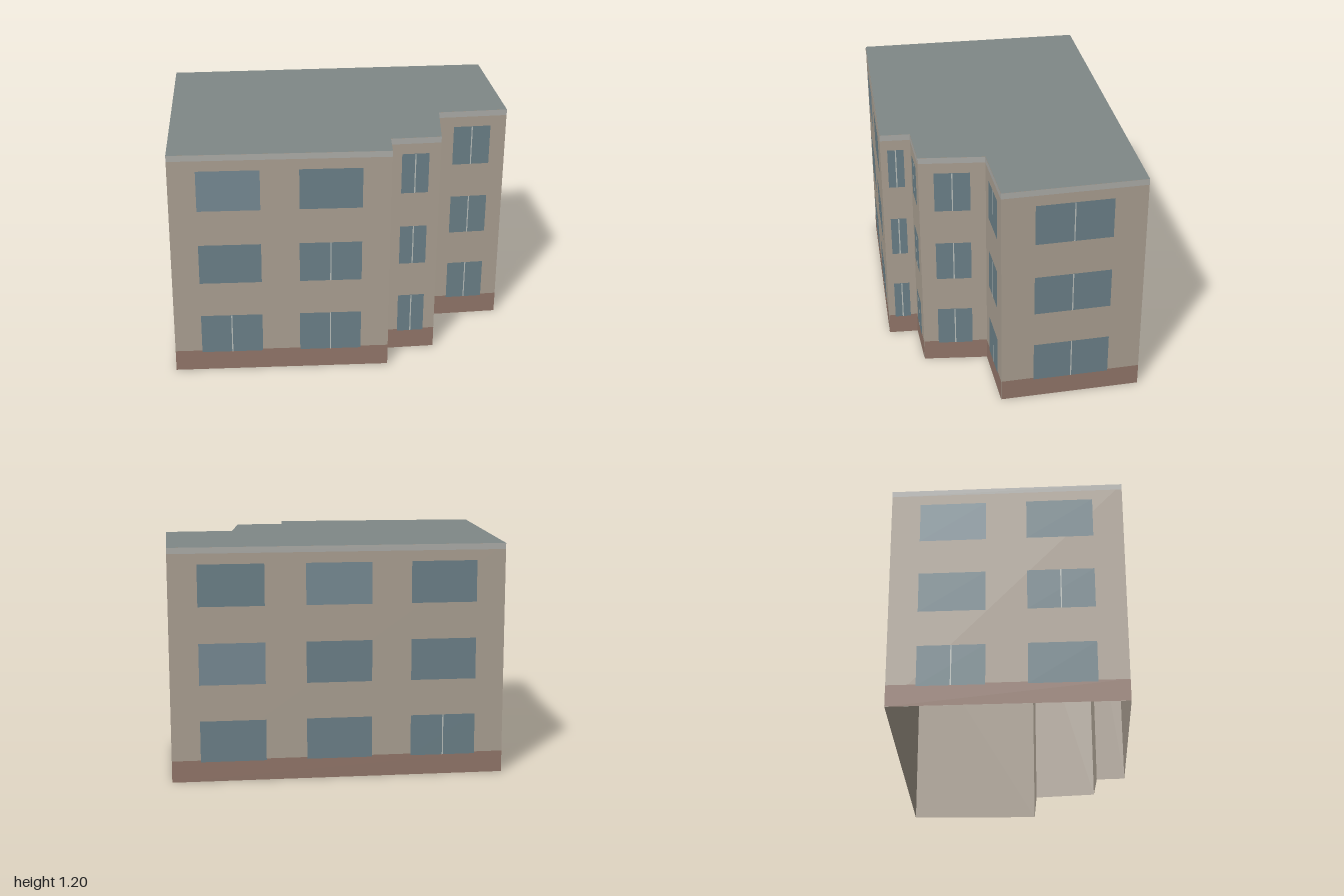
import * as THREE from 'three';

// Footprint corners [x, z], anticlockwise seen from above
const PLAN = [
  [-0.90, 0.04], [-0.214, 1.0], [0.672, 0.356], [0.589, 0.23],
  [0.787, 0.07], [0.622, -0.214], [0.90, -0.443], [0.46, -1.0],
];
const HEIGHT = 1.204, PLINTH = 0.112, CORNICE = 1.173;
const SILLS = [0.103, 0.504, 0.905], WINDOW_H = 0.214;

// Window layout by number of windows per floor, as fractions of wall length
const LAYOUT = {
  1: { width: 0.54, centres: [0.5] },
  2: { width: 0.285, centres: [0.268, 0.728] },
  3: { width: 0.196, centres: [0.184, 0.502, 0.816] },
};

// Windows per floor on each wall; split and pale list the [floor, column]
// of windows with a mullion and of windows with lighter glass
const WALLS = [
  { count: 2, split: [[0, 0], [1, 1]], pale: [[2, 0]] },
  { count: 2, split: [[0, 0], [0, 1], [1, 1]], pale: [[2, 0]] },
  { count: 1 }, { count: 1 }, { count: 1 }, { count: 1 }, { count: 1 },
  { count: 3, split: [[0, 2]], pale: [[1, 0], [2, 1]] },
];

const paint = (color) => new THREE.MeshStandardMaterial({ color });
const listed = (list, floor, col) => list.some(([f, c]) => f === floor && c === col);

export function createModel() {
  const model = new THREE.Group();
  model.name = 'apartmentBlock';
  const mats = {
    wall: paint(0xada294), plinth: paint(0x94786b), cornice: paint(0xafafab),
    glass: paint(0x6d828a), paleGlass: paint(0x788c95),
    mullion: paint(0xbcc2be), roof: paint(0x808987),
  };
  // The shell is open below, so its inside shows
  mats.wall.side = THREE.DoubleSide;
  mats.roof.side = THREE.DoubleSide;

  // Upright rectangle in a wall's own frame: x along the wall, z outward
  const panel = (parent, name, mat, x0, x1, y0, y1, z) => {
    const mesh = new THREE.Mesh(new THREE.PlaneGeometry(x1 - x0, y1 - y0), mat);
    mesh.position.set((x0 + x1) / 2, (y0 + y1) / 2, z);
    mesh.name = name;
    parent.add(mesh);
  };

  WALLS.forEach(({ count, split, pale = [] }, i) => {
    const [ax, az] = PLAN[i];
    const [bx, bz] = PLAN[(i + 1) % PLAN.length];
    const len = Math.hypot(bx - ax, bz - az);
    const side = new THREE.Group();
    side.name = `facade${i + 1}`;
    side.position.set(ax, 0, az);
    side.rotation.y = Math.atan2(az - bz, bx - ax);
    model.add(side);

    panel(side, 'wall', mats.wall, 0, len, 0, HEIGHT, 0);
    panel(side, 'plinth', mats.plinth, 0, len, 0, PLINTH, 0.0015);
    panel(side, 'cornice', mats.cornice, 0, len, CORNICE, HEIGHT, 0.0015);

    // Windows on every floor; single-window walls have mullions throughout
    const { width, centres } = LAYOUT[count];
    SILLS.forEach((sill, floor) => centres.forEach((c, col) => {
      const mid = c * len, half = width * len / 2, top = sill + WINDOW_H;
      const glass = listed(pale, floor, col) ? mats.paleGlass : mats.glass;
      panel(side, 'window', glass, mid - half, mid + half, sill, top, 0.003);
      if (!split || listed(split, floor, col)) {
        panel(side, 'mullion', mats.mullion, mid - 0.003, mid + 0.003, sill, top, 0.0045);
      }
    }));
  });

  // Flat roof filling the footprint
  const outline = new THREE.Shape(PLAN.map(([x, z]) => new THREE.Vector2(x, -z)));
  const roof = new THREE.Mesh(new THREE.ShapeGeometry(outline).rotateX(-Math.PI / 2), mats.roof);
  roof.position.y = HEIGHT;
  roof.name = 'roof';
  model.add(roof);

  return model;
}
